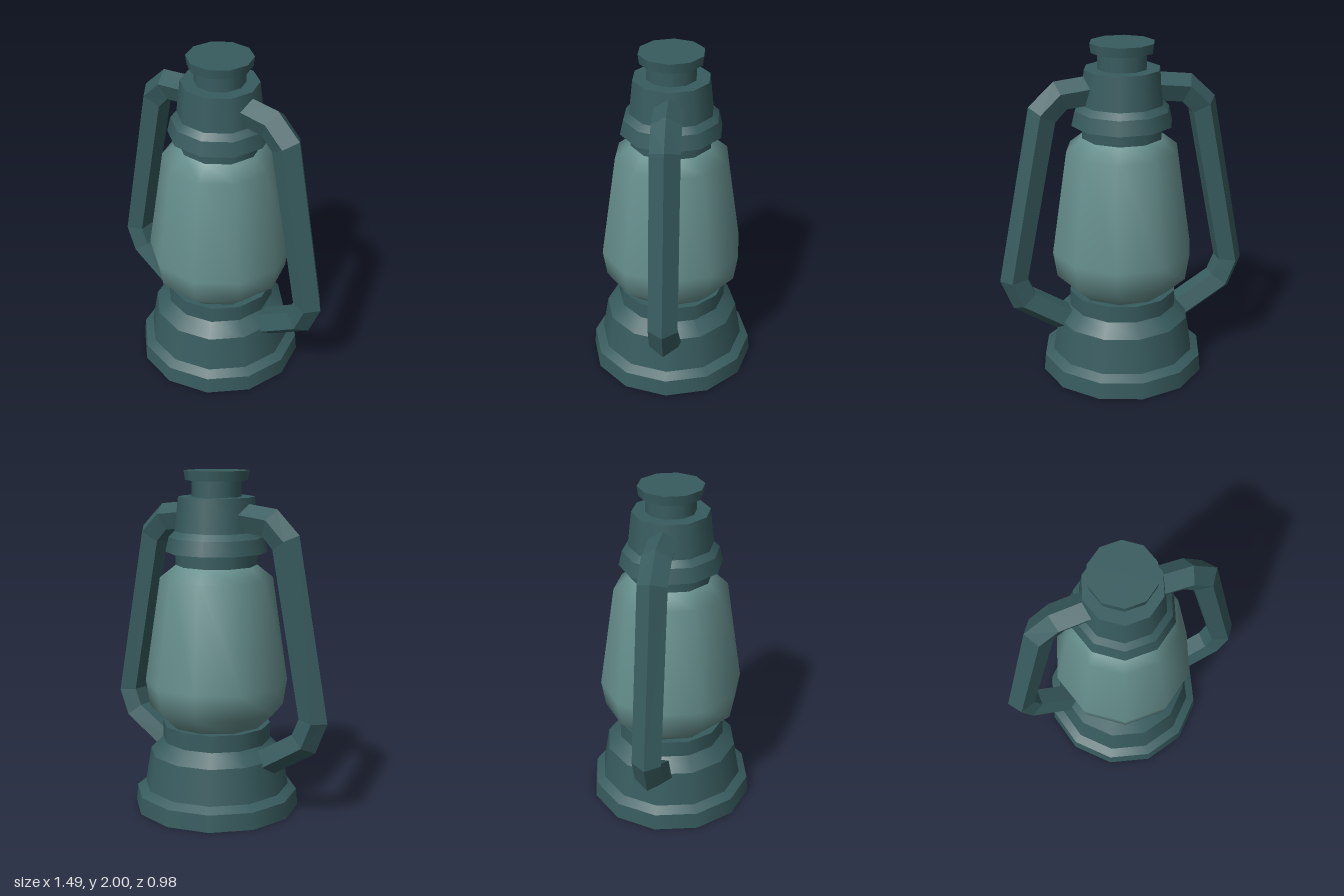
import * as THREE from 'three';
import { mergeGeometries } from 'three/addons/utils/BufferGeometryUtils.js';

const metal = new THREE.MeshStandardMaterial({ color: 0x385c5f });
metal.name = 'dark teal metal';
const glass = new THREE.MeshStandardMaterial({ color: 0x658e8c });
glass.name = 'pale teal glass';

const BODY_X = 0.007; // the turned body sits a touch off the handle's centre

// Turned part from [radius, height] pairs listed bottom to top, one corner on the x axis.
// Stepped parts are smooth around but keep a sharp edge at every profile point.
function turned(name, profile, sides, material, stepped) {
  const points = profile.map(([r, y]) => new THREE.Vector2(r, y));
  const geometry = stepped
    ? mergeGeometries(points.slice(1).map((p, i) => new THREE.LatheGeometry([points[i], p], sides)))
    : new THREE.LatheGeometry(points, sides);
  geometry.rotateY(Math.PI / 2);
  const mesh = new THREE.Mesh(geometry, material);
  mesh.name = name;
  mesh.position.x = BODY_X;
  return mesh;
}

// Five-sided bar swept between an outer ridge and a flat inner side
function handleGeometry(side) {
  const outer = [[0.15, 1.825], [0.402, 1.797], [0.547, 1.66], [0.747, 0.62], [0.673, 0.435], [0.33, 0.218]];
  const inner = [[0.15, 1.668], [0.337, 1.647], [0.405, 1.575], [0.59, 0.635], [0.548, 0.538], [0.26, 0.36]];
  // [share of the way from outer to inner, z]
  const section = [[0, 0], [0.382, 0.083], [1, 0.051], [1, -0.051], [0.382, -0.083]];
  const n = section.length;
  const positions = [], index = [];
  const tri = (a, b, c) => (side > 0 ? index.push(a, c, b) : index.push(a, b, c));
  outer.forEach(([ox, oy], i) => {
    const [ix, iy] = inner[i];
    for (const [t, z] of section) {
      positions.push(side * (ox + (ix - ox) * t), oy + (iy - oy) * t, z);
    }
  });
  for (let i = 0; i < outer.length - 1; i++) {
    for (let j = 0; j < n; j++) {
      const a = i * n + j, b = i * n + (j + 1) % n;
      tri(a, a + n, b);
      tri(b, a + n, b + n);
    }
  }
  // End caps, buried in the body
  const last = (outer.length - 1) * n;
  for (let j = 1; j < n - 1; j++) {
    tri(0, j, j + 1);
    tri(last, last + j + 1, last + j);
  }
  const geometry = new THREE.BufferGeometry();
  geometry.setAttribute('position', new THREE.Float32BufferAttribute(positions, 3));
  geometry.setIndex(index);
  const faceted = geometry.toNonIndexed();
  faceted.computeVertexNormals();
  return faceted;
}

export function createModel() {
  const lantern = new THREE.Group();
  lantern.name = 'lantern';

  // Stepped fuel tank with closed bottom and burner ring
  lantern.add(turned('base', [
    [0, 0], [0.492, 0], [0.483, 0.1], [0.432, 0.133], [0.397, 0.34],
    [0.322, 0.415], [0.322, 0.515], [0, 0.515],
  ], 12, metal, true));

  // Smooth glass globe
  lantern.add(turned('globe', [
    [0.285, 0.512], [0.397, 0.617], [0.421, 0.77], [0.33, 1.385], [0.235, 1.46],
  ], 10, glass, false));

  // Flared hood, chimney and cap
  lantern.add(turned('hood', [
    [0, 1.455], [0.237, 1.455], [0.237, 1.535], [0.297, 1.535], [0.277, 1.62],
    [0.243, 1.655], [0.221, 1.852], [0.144, 1.852], [0.144, 1.945],
    [0.181, 1.945], [0.188, 2], [0, 2],
  ], 10, metal, true));

  // Side handles
  for (const [name, side] of [['leftHandle', 1], ['rightHandle', -1]]) {
    const handle = new THREE.Mesh(handleGeometry(side), metal);
    handle.name = name;
    lantern.add(handle);
  }
  return lantern;
}
